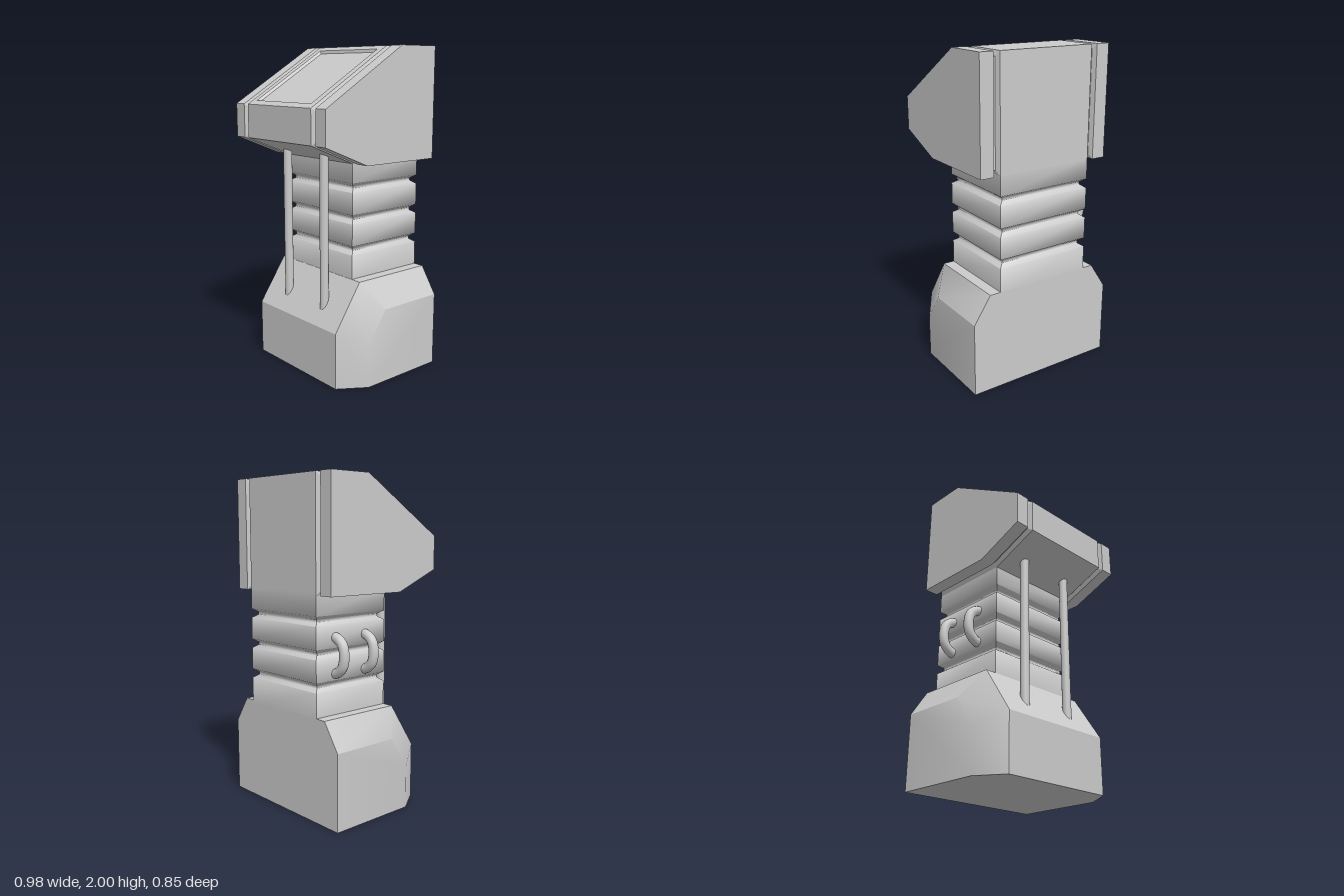
import * as THREE from 'three';
import { toCreasedNormals } from 'three/addons/utils/BufferGeometryUtils.js';

const material = new THREE.MeshStandardMaterial({ color: 0xcccccc });

// Skin a list of matching point rings; rings run counter-clockwise seen from the last one.
function loft(rings, { capStart = true, capEnd = true, skip = () => false, crease = 0.3 } = {}) {
  const pos = [];
  const tri = (a, b, c) => pos.push(...a, ...b, ...c);
  const n = rings[0].length;
  for (let i = 0; i < rings.length - 1; i++) {
    for (let j = 0; j < n; j++) {
      if (skip(i, j)) continue;
      const k = (j + 1) % n;
      tri(rings[i][j], rings[i][k], rings[i + 1][k]);
      tri(rings[i][j], rings[i + 1][k], rings[i + 1][j]);
    }
  }
  const first = rings[0], last = rings[rings.length - 1];
  for (let j = 1; j < n - 1; j++) {
    if (capStart) tri(first[0], first[j + 1], first[j]);
    if (capEnd) tri(last[0], last[j], last[j + 1]);
  }
  const geometry = new THREE.BufferGeometry();
  geometry.setAttribute('position', new THREE.Float32BufferAttribute(pos, 3));
  return toCreasedNormals(geometry, crease);
}

function mesh(name, geometry, parent) {
  const m = new THREE.Mesh(geometry, material);
  m.name = name;
  parent.add(m);
  return m;
}

// Side profile of [z, y] points placed at a given x.
const atX = (profile, x) => profile.map(([z, y]) => [x, y, z]);

export function createModel() {
  const model = new THREE.Group();
  model.name = 'console';
  const back = -0.425;

  // Base: full profile in the middle, reduced profile on the outer sides
  const baseInner = [[back, 0.625], [0.12, 0.625], [0.308, 0.345], [0.308, 0], [back, 0]];
  const baseOuter = [[back, 0.46], [0.01, 0.46], [0.14, 0.265], [0.14, 0], [back, 0]];
  mesh('base', loft([
    atX(baseOuter, -0.49), atX(baseInner, -0.38), atX(baseInner, 0.38), atX(baseOuter, 0.49),
  ], { crease: 0.58 }), model);

  // Column with three grooves running all round
  const rect = (y, d) => [
    [0.31 - d, y, back + d], [-0.31 + d, y, back + d],
    [-0.31 + d, y, 0.118 - d], [0.31 - d, y, 0.118 - d],
  ];
  const columnRings = [rect(0.6, 0)];
  for (const y of [0.8, 0.99, 1.18]) {
    columnRings.push(rect(y - 0.028, 0), rect(y - 0.008, 0.03), rect(y + 0.008, 0.03), rect(y + 0.028, 0));
  }
  columnRings.push(rect(1.34, 0));
  mesh('column', loft(columnRings, { crease: 1.2 }), model);

  // Head: sloped housing with a groove near each side
  const head = new THREE.Group();
  head.name = 'head';
  model.add(head);
  const outer = [[back, 2], [-0.145, 2], [0.425, 1.655], [0.425, 1.45], [0.118, 1.325], [back, 1.325]];
  const inset = [[-0.395, 1.97], [-0.154, 1.97], [0.395, 1.638], [0.395, 1.47], [0.112, 1.355], [-0.395, 1.355]];
  const right = [[outer, -0.437], [outer, -0.35], [inset, -0.339], [inset, -0.323], [outer, -0.31]];
  const left = right.map(([p, x]) => [p, -x]).reverse();
  const headRings = [...right, ...left].map(([p, x]) => atX(p, x));
  // the middle of the sloped face is left open for the screen
  mesh('housing', loft(headRings, { skip: (i, j) => i === 4 && j === 1 }), head);

  // Screen: flat frame, bevelled edge and sunken panel on the slope
  const top = new THREE.Vector3(0, 2, -0.145);
  const down = new THREE.Vector3(0, 1.655, 0.425).sub(top);
  const length = down.length();
  down.normalize();
  const normal = new THREE.Vector3().crossVectors(down, new THREE.Vector3(1, 0, 0)).normalize();
  const slopeRect = (w, v0, v1, depth) => [[-w, v1], [w, v1], [w, v0], [-w, v0]].map(([x, v]) =>
    top.clone().addScaledVector(down, v).addScaledVector(normal, -depth).setX(x).toArray());
  mesh('screen', loft([
    slopeRect(0.31, 0, length, 0),
    slopeRect(0.265, 0.04, 0.622, 0),
    slopeRect(0.251, 0.054, 0.608, 0.014),
  ], { capStart: false }), head);

  // Two upright pipes between base and head
  for (const side of [-1, 1]) {
    const pipe = mesh('pipe', new THREE.CylinderGeometry(0.027, 0.027, 1.0, 20), model);
    pipe.position.set(side * 0.178, 0.9, 0.225);
  }

  // Two bent handles on the right side of the column
  const handlePath = new THREE.CatmullRomCurve3([
    [-0.28, 1.08], [-0.325, 1.075], [-0.37, 1.04], [-0.385, 0.975],
    [-0.37, 0.91], [-0.325, 0.872], [-0.28, 0.867],
  ].map(([x, y]) => new THREE.Vector3(x, y, 0)));
  for (const z of [-0.28, -0.045]) {
    const handle = mesh('handle', new THREE.TubeGeometry(handlePath, 28, 0.03, 14), model);
    handle.position.z = z;
  }

  return model;
}
